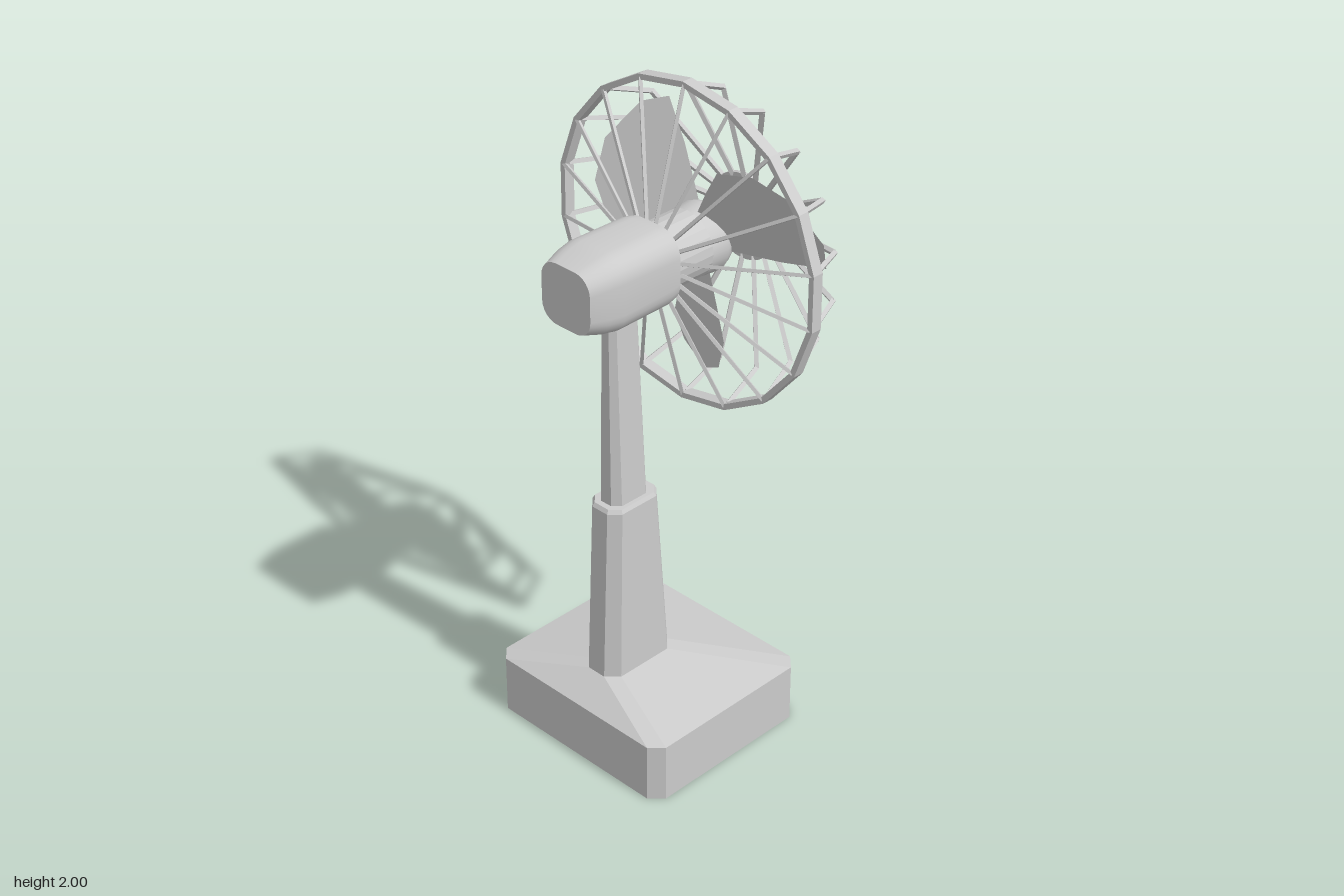
import * as THREE from 'three';
import { toCreasedNormals } from 'three/addons/utils/BufferGeometryUtils.js';

const smooth = new THREE.MeshStandardMaterial({ color: 0xcccccc });
const flat = new THREE.MeshStandardMaterial({ color: 0xcccccc, flatShading: true });
const thin = new THREE.MeshStandardMaterial({ color: 0xcccccc, flatShading: true, side: THREE.DoubleSide });

const AXIS_Y = 1.515; // height of the fan axis
const SIDES = 18; // spokes of the cage

function add(parent, name, geometry, material) {
  const mesh = new THREE.Mesh(geometry, material);
  mesh.name = name;
  parent.add(mesh);
  return mesh;
}

// Rectangle outline with cut (n = 1) or rounded corners, at height y
function section(y, hw, hd, corner, n = 1, zc = 0) {
  const points = [];
  [[1, 1], [-1, 1], [-1, -1], [1, -1]].forEach(([sx, sz], q) => {
    for (let i = 0; i <= n; i++) {
      const a = (q + i / n) * Math.PI / 2;
      points.push(new THREE.Vector3(
        sx * (hw - corner) + corner * Math.cos(a), y,
        zc + sz * (hd - corner) + corner * Math.sin(a)));
    }
  });
  return points;
}

// Closed skin over a stack of sections
function loft(sections, crease) {
  const pos = [];
  const tri = (...pts) => pts.forEach((p) => pos.push(p.x, p.y, p.z));
  const centre = (s) => s.reduce((sum, p) => sum.add(p), new THREE.Vector3()).divideScalar(s.length);
  const last = sections.length - 1;
  const lowCentre = centre(sections[0]);
  const topCentre = centre(sections[last]);
  const n = sections[0].length;
  for (let i = 0; i < n; i++) {
    const k = (i + 1) % n;
    for (let j = 0; j < last; j++) {
      const lo = sections[j], hi = sections[j + 1];
      tri(lo[i], hi[i], lo[k]);
      tri(lo[k], hi[i], hi[k]);
    }
    tri(lowCentre, sections[0][i], sections[0][k]);
    tri(topCentre, sections[last][k], sections[last][i]);
  }
  const geo = new THREE.BufferGeometry();
  geo.setAttribute('position', new THREE.Float32BufferAttribute(pos, 3));
  return toCreasedNormals(geo, crease);
}

// Turned part about the z axis, profile given as [radius, z]
function turned(profile, segments) {
  const geo = new THREE.LatheGeometry(profile.map(([r, z]) => new THREE.Vector2(r, z)), segments);
  return geo.rotateX(Math.PI / 2);
}

// Square wire between two points
function wire(parent, name, a, b, thickness) {
  const dir = b.clone().sub(a);
  const geo = new THREE.CylinderGeometry(thickness, thickness, dir.length(), 4);
  const mesh = add(parent, name, geo, flat);
  mesh.position.copy(a).add(b).multiplyScalar(0.5);
  mesh.quaternion.setFromUnitVectors(new THREE.Vector3(0, 1, 0), dir.normalize());
}

export function createModel() {
  const model = new THREE.Group();
  model.name = 'deskFan';

  // Base and two-stage column
  add(model, 'base', loft([
    section(0, 0.333, 0.3, 0.038, 1, 0.055),
    section(0.185, 0.333, 0.3, 0.038, 1, 0.055),
    section(0.247, 0.067, 0.13, 0.035, 1, 0.137),
  ], 0.1), smooth);
  add(model, 'lowerColumn', loft([
    section(0.24, 0.067, 0.13, 0.035, 1, 0.137),
    section(0.8, 0.06, 0.097, 0.03, 1, 0.147),
    section(0.812, 0.054, 0.09, 0.027, 1, 0.147),
  ], 0.1), smooth);
  add(model, 'upperColumn', loft([
    section(0.8, 0.042, 0.069, 0.022, 1, 0.15),
    section(1.43, 0.028, 0.053, 0.015, 1, 0.161),
  ], 0.1), smooth);

  // Motor housing, a rounded square that tapers at the back
  const housing = loft([
    section(0.02, 0.092, 0.092, 0.07, 6),
    section(0.04, 0.112, 0.112, 0.075, 6),
    section(0.07, 0.116, 0.116, 0.075, 6),
    section(0.25, 0.116, 0.116, 0.07, 6),
    section(0.3, 0.108, 0.108, 0.065, 6),
    section(0.355, 0.092, 0.092, 0.055, 6),
  ], 0.6).rotateX(Math.PI / 2);
  add(model, 'motorHousing', housing, smooth).position.y = 1.521;

  // Fan head
  const head = new THREE.Group();
  head.name = 'fanHead';
  head.position.y = AXIS_Y;
  model.add(head);
  add(head, 'motorNeck', turned([[0, -0.1], [0.1, -0.1], [0.1, 0.06], [0, 0.06]], 24).toNonIndexed(), flat);
  const hub = turned([[0, -0.256], [0.06, -0.256], [0.072, -0.225], [0.098, -0.175], [0.105, -0.155], [0.1, -0.1], [0, -0.1]], 24);
  add(head, 'hub', toCreasedNormals(hub, 0.6), smooth);

  // Three pitched blades: [radius, angle in degrees] outline
  const outline = [[0.085, -48], [0.25, -36], [0.385, -32], [0.41, -20], [0.405, 0], [0.365, 16], [0.29, 30], [0.19, 34], [0.085, 45]];
  const shape = new THREE.Shape(outline.map(([r, deg]) => {
    const a = THREE.MathUtils.degToRad(deg);
    return new THREE.Vector2(r * Math.cos(a), r * Math.sin(a));
  }));
  const blade = new THREE.ShapeGeometry(shape);
  const p = blade.attributes.position;
  for (let i = 0; i < p.count; i++) p.setZ(i, -0.145 + 0.45 * p.getY(i));
  blade.computeVertexNormals();
  for (let i = 0; i < 3; i++) {
    add(head, 'blade', blade, thin).rotation.z = THREE.MathUtils.degToRad(34 + 120 * i);
  }

  // Cage: rim, domed cap and bent wires
  const cage = new THREE.Group();
  cage.name = 'cage';
  head.add(cage);
  add(cage, 'rim', turned([[0.468, -0.115], [0.485, -0.115], [0.485, -0.08], [0.468, -0.08], [0.468, -0.115]], SIDES), flat);
  const cap = turned([[0, -0.355], [0.04, -0.352], [0.09, -0.343], [0.13, -0.334], [0.13, -0.32], [0, -0.32]], 2 * SIDES);
  add(cage, 'cap', toCreasedNormals(cap, 0.5), smooth);
  for (let i = 0; i < SIDES; i++) {
    const a = (i / SIDES) * Math.PI * 2;
    const at = (r, z) => new THREE.Vector3(r * Math.sin(a), r * Math.cos(a), z);
    wire(cage, 'rearWire', at(0.475, -0.085), at(0.095, 0.022), 0.007);
    wire(cage, 'frontWireOuter', at(0.474, -0.1), at(0.418, -0.238), 0.009);
    wire(cage, 'frontWireInner', at(0.42, -0.235), at(0.11, -0.328), 0.009);
  }
  return model;
}
